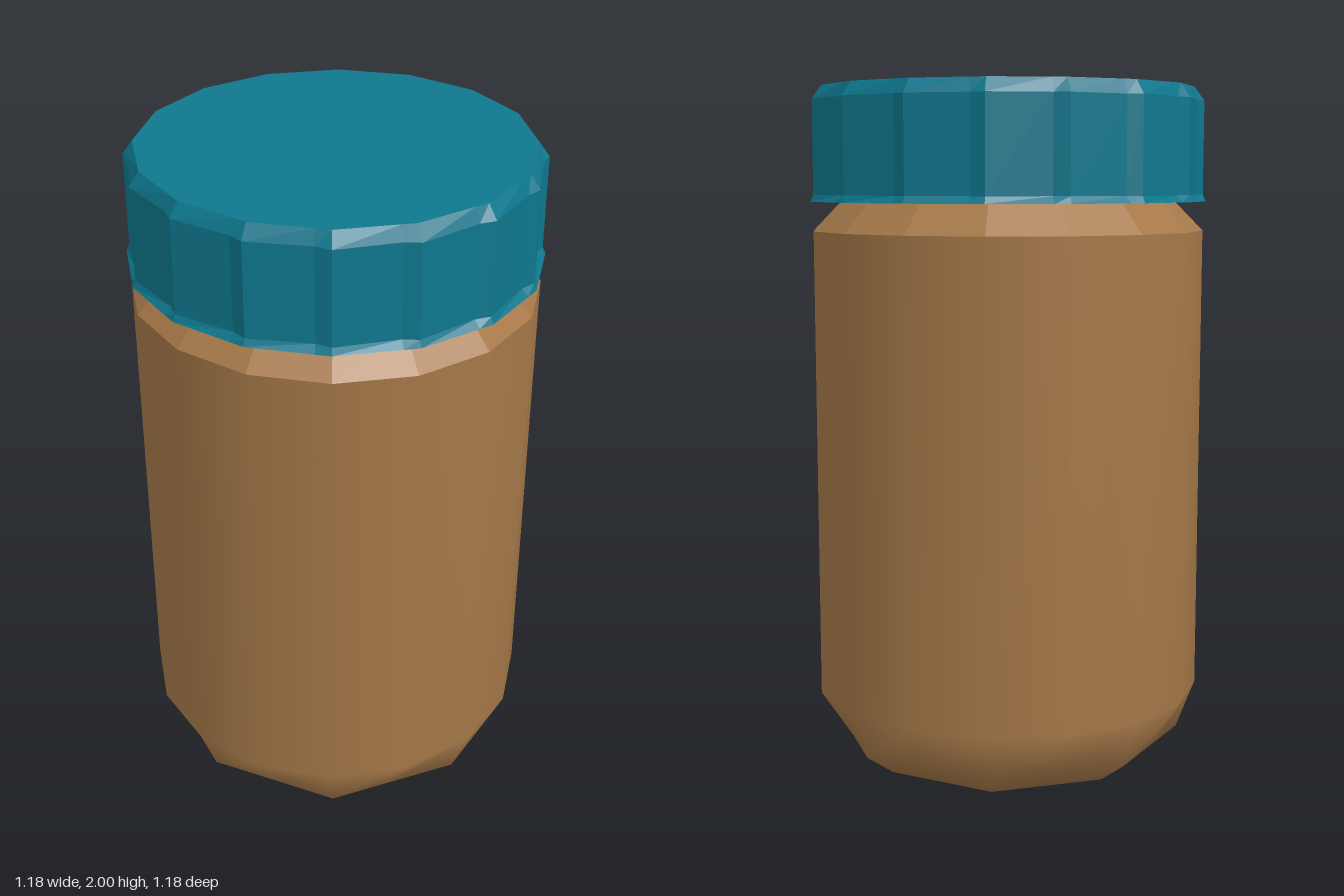
import * as THREE from 'three';

const SIDES = 16;
const STEP = (Math.PI * 2) / SIDES;

// Radius of a regular polygon (corner radius r, corner at angle 0) at angle a
function polygonRadius(r, sides, a) {
  const seg = (Math.PI * 2) / sides;
  const local = (((a % seg) + seg) % seg) - seg / 2;
  return (r * Math.cos(seg / 2)) / Math.cos(local);
}

// Skin closed rings from bottom to top; each ring is { y, radius(angle, column) }
function loft(angles, rings, flat) {
  const n = angles.length;
  const positions = [];
  const index = [];
  rings.forEach(({ y, radius }, j) => {
    angles.forEach((a, i) => {
      const r = radius(a, i);
      positions.push(r * Math.sin(a), y, r * Math.cos(a));
      if (j === rings.length - 1) return;
      const p = j * n + i;
      const q = j * n + ((i + 1) % n);
      index.push(p, q, q + n, p, q + n, p + n);
    });
  });
  let geometry = new THREE.BufferGeometry();
  geometry.setAttribute('position', new THREE.Float32BufferAttribute(positions, 3));
  geometry.setIndex(index);
  if (flat) geometry = geometry.toNonIndexed();
  geometry.computeVertexNormals();
  return geometry;
}

const ring = (y, r, sides = SIDES) => ({ y, radius: (a) => polygonRadius(r, sides, a) });

export function createModel() {
  const model = new THREE.Group();
  model.name = 'jar';
  const brown = new THREE.MeshStandardMaterial({ color: 0xa57848 });
  brown.name = 'brown';
  const teal = new THREE.MeshStandardMaterial({ color: 0x0e778d });
  teal.name = 'teal';

  const add = (name, geometry, material) => {
    const mesh = new THREE.Mesh(geometry, material);
    mesh.name = name;
    model.add(mesh);
  };

  const corners = Array.from({ length: SIDES }, (_, i) => i * STEP);

  // Smooth body: eight-sided foot blending into a sixteen-sided wall
  add('body', loft(corners, [
    ring(0, 0), ring(0, 0.435, 8), ring(0.065, 0.525, 8), ring(0.21, 0.58), ring(1.585, 0.58),
  ], false), brown);

  // Faceted shoulder running up under the lid
  add('shoulder', loft(corners, [ring(1.585, 0.58), ring(1.68, 0.487)], true), brown);

  // Lid with a narrow grip step before every corner
  const gripAngles = corners.flatMap((a) => [a, a + STEP - 0.075]);
  const grip = (y) => ({ y, radius: (a, i) => (i % 2 ? 0.561 : 0.579) });
  add('lid', loft(gripAngles, [
    ring(1.67, 0), ring(1.67, 0.588), grip(1.69), grip(1.96), ring(2, 0.55), ring(2, 0),
  ], true), teal);

  return model;
}
